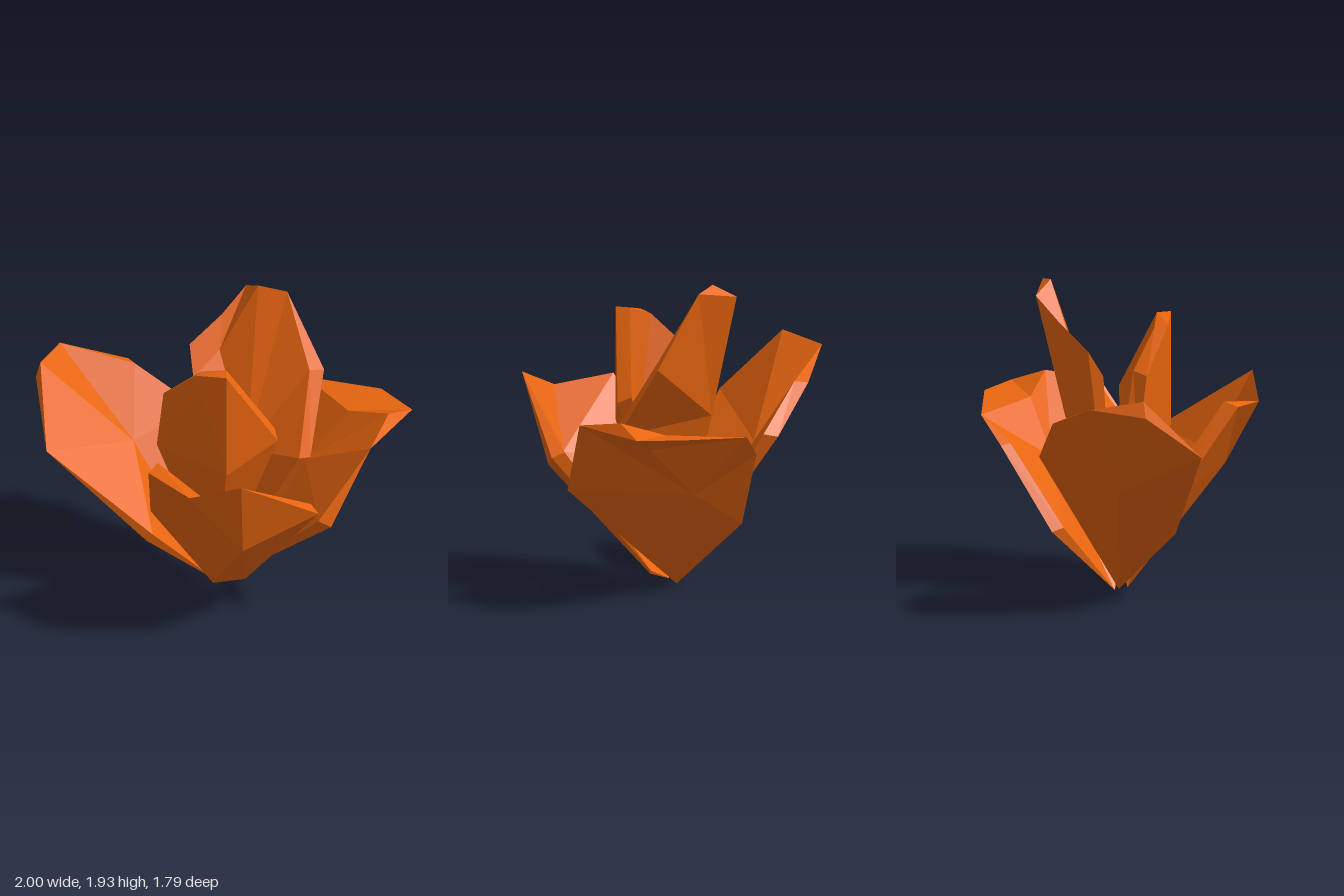
import * as THREE from 'three';

const material = new THREE.MeshStandardMaterial({ color: 0xe8650f, flatShading: true, side: THREE.DoubleSide });

// A cupped leaf: rims run from outside to inside, all meeting at the base point;
// the outer and inner skins fan out from one middle point each.
function leaf(name, base, outerMid, innerMid, rims) {
  const pos = [];
  const same = (p, q) => p.every((v, i) => v === q[i]);
  const tri = (a, b, c) => {
    if (!same(a, b) && !same(b, c) && !same(a, c)) pos.push(...a, ...b, ...c);
  };
  const loops = rims.map(r => [base, ...r]);
  const n = loops[0].length;
  const last = loops.length - 1;
  for (let i = 0; i < n; i++) {
    const j = (i + 1) % n;
    tri(outerMid, loops[0][j], loops[0][i]);
    tri(innerMid, loops[last][i], loops[last][j]);
    for (let k = 0; k < last; k++) {
      const o = loops[k], q = loops[k + 1];
      tri(o[i], o[j], q[j]);
      tri(o[i], q[j], q[i]);
    }
  }
  const geometry = new THREE.BufferGeometry();
  geometry.setAttribute('position', new THREE.Float32BufferAttribute(pos, 3));
  geometry.computeVertexNormals();
  const mesh = new THREE.Mesh(geometry, material);
  mesh.name = name;
  return mesh;
}

export function createModel() {
  const group = new THREE.Group();
  group.name = 'leafCluster';

  // wide leaf leaning to the side
  group.add(leaf('sideLeaf', [0.11, 0.01, 0.12], [-0.55, 0.75, 0.33], [-0.48, 0.82, 0.21], [
    [[-0.42, 0.92, -0.22], [-0.73, 1.2, -0.03], [-1, 1.36, 0.3], [-0.91, 1.31, 0.63], [-0.6, 1.02, 0.89], [-0.08, 0.42, 0.55]],
    [[-0.33, 0.94, -0.2], [-0.65, 1.21, 0], [-1, 1.36, 0.3], [-0.89, 1.41, 0.61], [-0.6, 1.02, 0.89], [-0.05, 0.47, 0.53]],
  ]));

  // broad back leaf with a flared lip
  group.add(leaf('backLeaf', [0.12, 0, 0.09], [0.31, 0.67, -0.51], [0.38, 0.75, -0.4], [
    [[0.93, 0.67, -0.01], [1, 1.13, -0.3], [0.7, 1.01, -0.66], [0.7, 1.01, -0.66], [0.08, 1.05, -0.76], [-0.08, 0.9, -0.58], [-0.17, 0.4, -0.22]],
    [[0.93, 0.67, -0.01], [1, 1.13, -0.3], [0.88, 1.11, -0.83], [0.57, 1.1, -0.9], [0.08, 1.05, -0.76], [-0.08, 0.9, -0.58], [-0.17, 0.4, -0.22]],
    [[0.88, 0.72, 0.05], [1, 1.13, -0.3], [0.88, 1.185, -0.61], [0.56, 1.08, -0.6], [0.08, 1.05, -0.76], [-0.04, 0.91, -0.53], [-0.12, 0.42, -0.16]],
  ]));

  // front leaf
  group.add(leaf('frontLeaf', [0.13, 0.02, 0.17], [0.74, 0.71, 0.6], [0.68, 0.8, 0.52], [
    [[-0.05, 0.65, 0.55], [0.2, 1.18, 0.86], [0.55, 1.15, 0.88], [0.85, 1.28, 0.74], [0.96, 0.85, 0.14], [0.31, 0.08, 0.08]],
    [[-0.04, 0.68, 0.46], [0.2, 1.21, 0.77], [0.55, 1.15, 0.88], [0.85, 1.28, 0.74], [0.88, 0.88, 0.12], [0.31, 0.1, 0.07]],
  ]));

  // upright inner leaf at the front
  group.add(leaf('innerFrontLeaf', [0.12, 0.02, 0.13], [0.4, 1, 0.36], [0.3, 1, 0.24], [
    [[-0.18, 0.98, 0.34], [-0.1, 1.4, 0.37], [0.2, 1.67, 0.41], [0.4, 1.71, 0.36], [0.55, 1.17, 0.05]],
    [[-0.18, 0.98, 0.24], [-0.06, 1.42, 0.27], [0.17, 1.65, 0.33], [0.34, 1.71, 0.29], [0.48, 1.21, 0]],
  ]));

  // tallest inner leaf at the back
  group.add(leaf('innerBackLeaf', [0.12, 0.02, 0.1], [0.03, 1.09, -0.2], [0.24, 0.95, -0.02], [
    [[0.65, 1, -0.14], [0.52, 1.45, -0.42], [0.23, 1.9, -0.41], [-0.06, 1.85, -0.36], [-0.11, 1.7, -0.19], [-0.19, 1.55, 0.02]],
    [[0.63, 1.02, -0.06], [0.48, 1.47, -0.33], [0.23, 1.9, -0.41], [0.08, 1.93, -0.31], [-0.06, 1.5, -0.11], [-0.1, 1.38, 0.09]],
  ]));

  return group;
}
